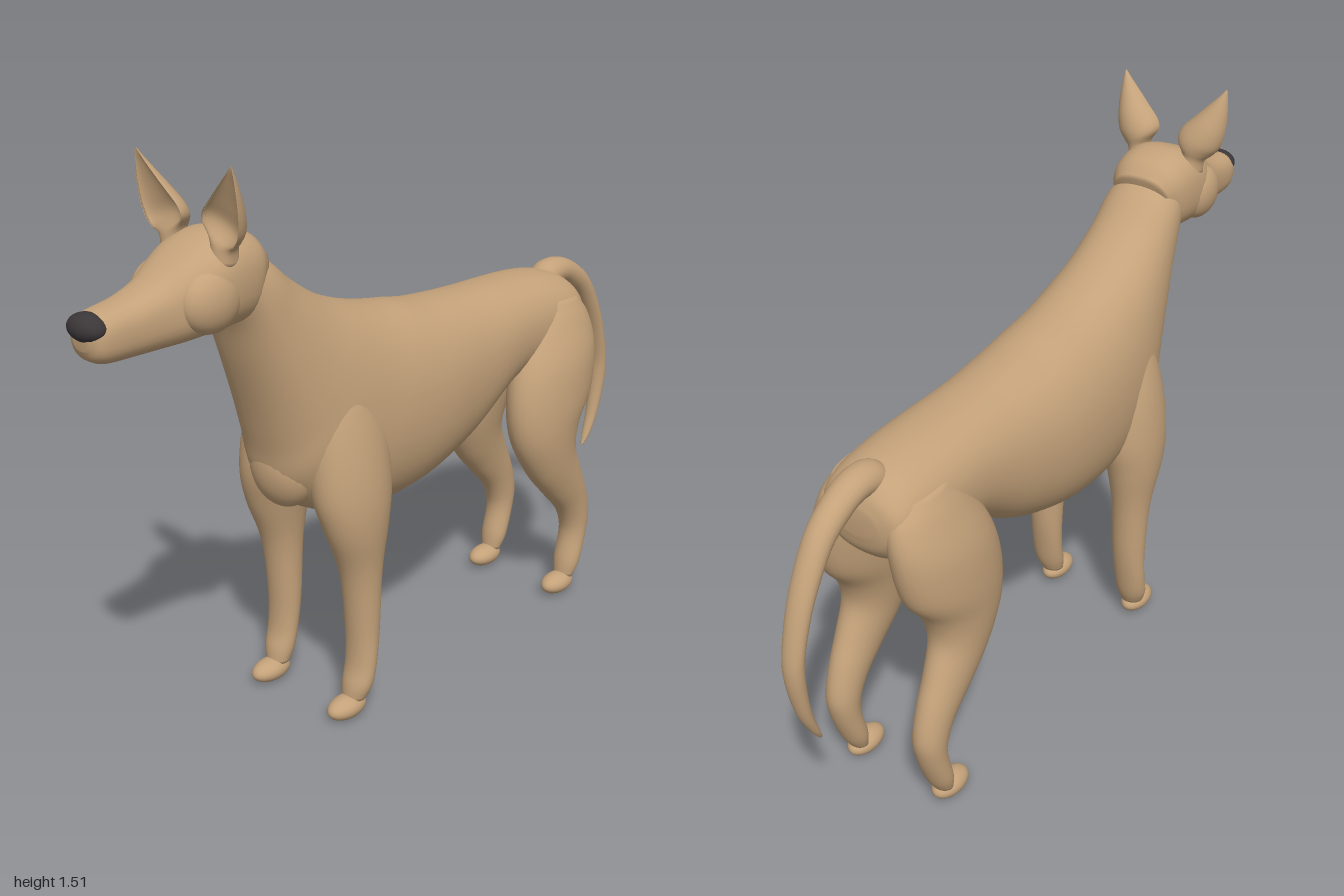
import * as THREE from 'three';

const coat = new THREE.MeshStandardMaterial({ color: 0xc4a27a });
coat.name = 'tanCoat';
const noseBlack = new THREE.MeshStandardMaterial({ color: 0x3b3638 });
noseBlack.name = 'noseBlack';

// Closed smooth skin over rings of points, with a centre point capping each end
function skin(rings) {
  const n = rings[0].length, pos = [], idx = [];
  rings.forEach(r => r.forEach(p => pos.push(p.x, p.y, p.z)));
  for (let i = 0; i < rings.length - 1; i++) {
    for (let j = 0; j < n; j++) {
      const a = i * n + j, b = i * n + (j + 1) % n;
      idx.push(a, b, a + n, b, b + n, a + n);
    }
  }
  [0, rings.length - 1].forEach((ri, end) => {
    const c = new THREE.Vector3();
    rings[ri].forEach(p => c.addScaledVector(p, 1 / n));
    const ci = pos.length / 3;
    pos.push(c.x, c.y, c.z);
    for (let j = 0; j < n; j++) {
      const a = ri * n + j, b = ri * n + (j + 1) % n;
      if (end) idx.push(a, b, ci); else idx.push(b, a, ci);
    }
  });
  // Turn the faces outwards if the signed volume is negative
  const v = i => new THREE.Vector3().fromArray(pos, i * 3);
  let volume = 0;
  for (let i = 0; i < idx.length; i += 3) volume += v(idx[i]).dot(v(idx[i + 1]).cross(v(idx[i + 2])));
  if (volume < 0) idx.reverse();
  const g = new THREE.BufferGeometry();
  g.setAttribute('position', new THREE.Float32BufferAttribute(pos, 3));
  g.setIndex(idx);
  g.computeVertexNormals();
  return g;
}

// Loft between two side-profile edges; section: [z1, y1, z2, y2, halfWidth, centreX]
function loft(sections, { power = 2, sides = 32, steps = 5, mirror = 1 } = {}) {
  const curve = f => new THREE.CatmullRomCurve3(sections.map(f), false, 'catmullrom', 0.5);
  const edgeA = curve(s => new THREE.Vector3(s[4], s[1], s[0]));
  const edgeB = curve(s => new THREE.Vector3((s[5] || 0) * mirror, s[3], s[2]));
  const round = t => Math.sign(t) * Math.abs(t) ** (2 / power);
  const count = (sections.length - 1) * steps, rings = [];
  for (let i = 0; i <= count; i++) {
    const a = edgeA.getPoint(i / count), b = edgeB.getPoint(i / count), ring = [];
    for (let j = 0; j < sides; j++) {
      const t = j / sides * Math.PI * 2, k = (1 + round(Math.sin(t))) / 2;
      ring.push(new THREE.Vector3(
        b.x + a.x * round(Math.cos(t)), b.y + (a.y - b.y) * k, b.z + (a.z - b.z) * k));
    }
    rings.push(ring);
  }
  return skin(rings);
}

// Cupped ear, hollow towards the front; section: [x, y, z, halfWidth, depth, hollow]
function earGeometry(side) {
  const sections = [
    [0.085, 1.29, 0.635, 0.030, 0.030, -1], [0.085, 1.325, 0.64, 0.034, 0.030, -0.7],
    [0.085, 1.35, 0.65, 0.054, 0.040, 0.1], [0.098, 1.375, 0.655, 0.060, 0.042, 0.5],
    [0.118, 1.41, 0.66, 0.049, 0.036, 0.5], [0.136, 1.45, 0.665, 0.032, 0.024, 0.5],
    [0.149, 1.485, 0.668, 0.015, 0.012, 0.4], [0.157, 1.512, 0.67, 0.002, 0.002, 0],
  ];
  const curve = f => new THREE.CatmullRomCurve3(sections.map(f), false, 'catmullrom', 0.5);
  const centre = curve(s => new THREE.Vector3(s[0], s[1], s[2]));
  const size = curve(s => new THREE.Vector3(s[3], s[4], s[5]));
  const rings = [];
  for (let i = 0; i <= 28; i++) {
    const c = centre.getPoint(i / 28), s = size.getPoint(i / 28), ring = [];
    for (let j = 0; j < 24; j++) {
      const t = j / 24 * Math.PI * 2, across = s.x * Math.cos(t), depth = Math.sin(t);
      ring.push(new THREE.Vector3(
        side * (c.x + across * 0.93), c.y - across * 0.37,
        c.z + 0.012 - s.y * (depth > 0 ? depth * 1.4 : -depth * s.z)));
    }
    rings.push(ring);
  }
  return skin(rings);
}

export function createModel() {
  const model = new THREE.Group();
  model.name = 'dog';
  const add = (name, geometry, material = coat) => {
    const mesh = new THREE.Mesh(geometry, material);
    mesh.name = name;
    model.add(mesh);
    return mesh;
  };
  const ellipsoid = (name, x, y, z, rx, ry, rz, material) => {
    const mesh = add(name, new THREE.SphereGeometry(1, 28, 20), material);
    mesh.position.set(x, y, z);
    mesh.scale.set(rx, ry, rz);
    return mesh;
  };

  // Neck, chest, belly and rump in one sweep
  add('body', loft([
    [0.52, 1.28, 0.60, 1.14, 0.105], [0.47, 1.25, 0.575, 1.09, 0.114],
    [0.40, 1.19, 0.547, 1.00, 0.124], [0.30, 1.125, 0.505, 0.87, 0.143],
    [0.20, 1.085, 0.475, 0.76, 0.160], [0.12, 1.062, 0.45, 0.66, 0.172],
    [0.06, 1.05, 0.36, 0.575, 0.180], [0.0, 1.04, 0.20, 0.52, 0.186],
    [-0.10, 1.022, 0.0, 0.525, 0.184], [-0.25, 1.01, -0.20, 0.585, 0.166],
    [-0.40, 1.004, -0.40, 0.70, 0.150], [-0.55, 0.998, -0.55, 0.72, 0.145],
    [-0.66, 0.98, -0.67, 0.74, 0.135], [-0.715, 0.945, -0.72, 0.78, 0.11],
    [-0.735, 0.90, -0.735, 0.83, 0.055],
  ], { power: 2.2, sides: 40 }));
  ellipsoid('breast', 0, 0.70, 0.40, 0.10, 0.11, 0.07);

  // Skull and muzzle
  add('head', loft([
    [0.49, 1.285, 0.55, 1.15, 0.085], [0.535, 1.33, 0.57, 1.122, 0.108],
    [0.61, 1.347, 0.62, 1.116, 0.119], [0.68, 1.33, 0.68, 1.113, 0.118],
    [0.74, 1.298, 0.74, 1.108, 0.100], [0.80, 1.262, 0.80, 1.106, 0.078],
    [0.87, 1.238, 0.87, 1.106, 0.067], [0.94, 1.226, 0.94, 1.108, 0.061],
    [0.972, 1.215, 0.97, 1.12, 0.050], [0.986, 1.195, 0.984, 1.145, 0.025],
  ], { power: 2.5 }));
  ellipsoid('nose', 0, 1.192, 0.962, 0.055, 0.033, 0.038, noseBlack);

  // Tail curling down behind
  add('tail', loft([
    [-0.63, 0.975, -0.66, 0.90, 0.040], [-0.67, 1.0, -0.69, 0.92, 0.045],
    [-0.73, 1.003, -0.735, 0.925, 0.043], [-0.80, 0.978, -0.775, 0.908, 0.040],
    [-0.88, 0.915, -0.84, 0.86, 0.037], [-0.95, 0.79, -0.905, 0.76, 0.034],
    [-0.99, 0.66, -0.945, 0.65, 0.030], [-0.998, 0.57, -0.952, 0.57, 0.027],
    [-0.975, 0.46, -0.94, 0.46, 0.020], [-0.94, 0.385, -0.918, 0.385, 0.013],
    [-0.914, 0.348, -0.906, 0.352, 0.004],
  ], { sides: 20 }));

  for (const side of [1, -1]) {
    const label = side > 0 ? 'left' : 'right';
    add(label + 'Ear', earGeometry(side));
    ellipsoid(label + 'Cheek', side * 0.082, 1.205, 0.69, 0.050, 0.075, 0.082);

    // Shoulder down to the front ankle
    add(label + 'FrontLeg', loft([
      [0.34, 0.95, 0.26, 0.95, 0.030, 0.105], [0.38, 0.87, 0.22, 0.87, 0.060, 0.11],
      [0.405, 0.76, 0.18, 0.76, 0.081, 0.118], [0.41, 0.64, 0.175, 0.64, 0.086, 0.129],
      [0.385, 0.54, 0.195, 0.54, 0.073, 0.141], [0.335, 0.41, 0.218, 0.41, 0.055, 0.143],
      [0.315, 0.25, 0.23, 0.25, 0.049, 0.143], [0.315, 0.15, 0.245, 0.15, 0.047, 0.145],
      [0.33, 0.09, 0.258, 0.09, 0.044, 0.145], [0.335, 0.05, 0.275, 0.05, 0.033, 0.142],
    ], { mirror: side }));
    ellipsoid(label + 'FrontPaw', side * 0.142, 0.032, 0.333, 0.038, 0.031, 0.063);

    // Thigh, hock and rear ankle
    add(label + 'HindLeg', loft([
      [-0.53, 0.93, -0.68, 0.92, 0.035, 0.10], [-0.46, 0.86, -0.725, 0.87, 0.068, 0.10],
      [-0.40, 0.75, -0.735, 0.78, 0.088, 0.116], [-0.378, 0.64, -0.71, 0.66, 0.090, 0.125],
      [-0.395, 0.53, -0.65, 0.575, 0.080, 0.131], [-0.46, 0.42, -0.632, 0.50, 0.066, 0.137],
      [-0.53, 0.342, -0.662, 0.42, 0.055, 0.14], [-0.595, 0.275, -0.70, 0.335, 0.047, 0.14],
      [-0.625, 0.22, -0.722, 0.25, 0.043, 0.14], [-0.63, 0.17, -0.712, 0.18, 0.041, 0.14],
      [-0.615, 0.10, -0.68, 0.09, 0.041, 0.14], [-0.61, 0.05, -0.655, 0.045, 0.030, 0.14],
    ], { mirror: side }));
    ellipsoid(label + 'HindPaw', side * 0.14, 0.032, -0.602, 0.038, 0.031, 0.062);
  }
  return model;
}
